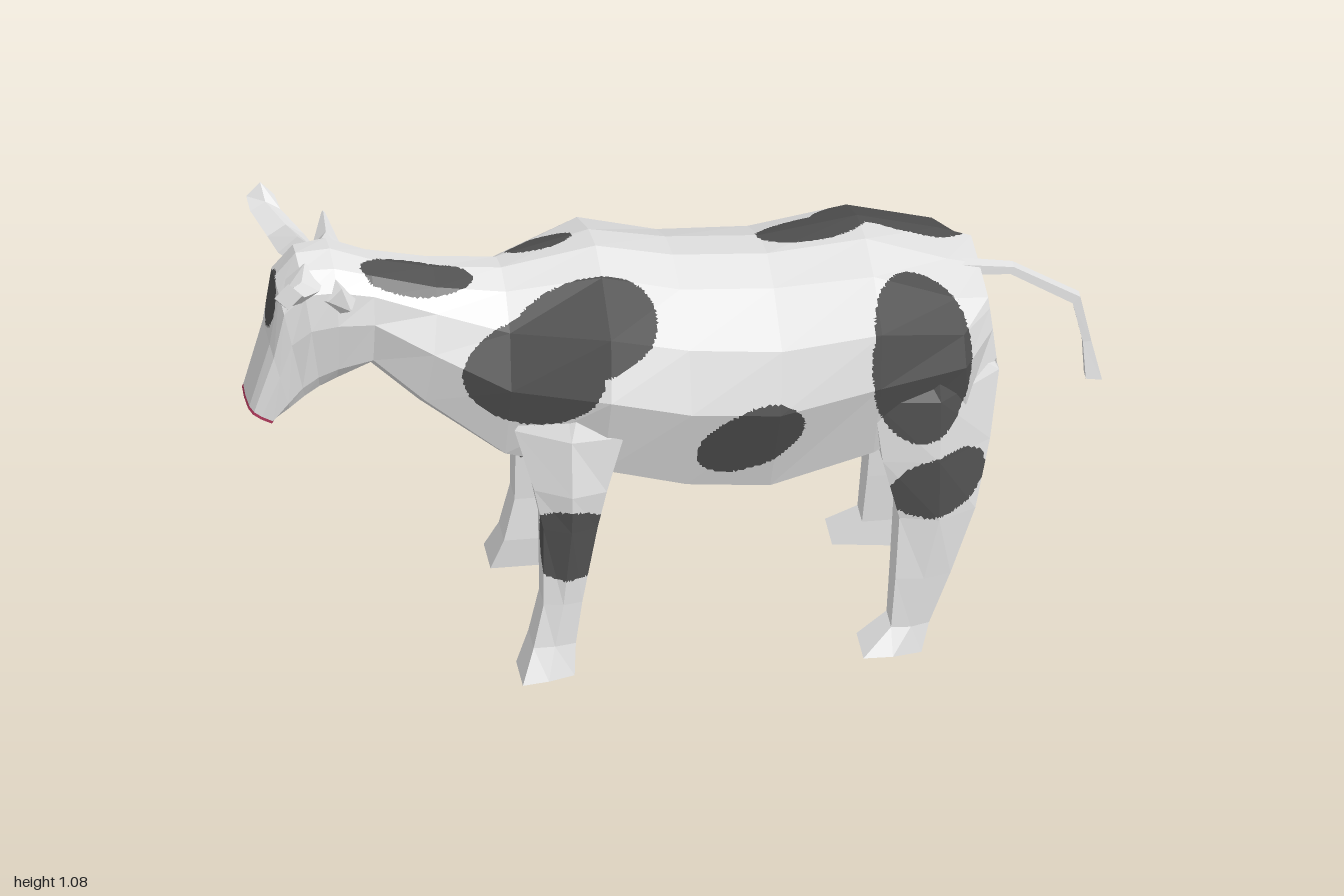
import * as THREE from 'three';

const V = (x, y, z) => new THREE.Vector3(x, y, z);
const hide = new THREE.MeshStandardMaterial({ color: 0xe6e6e6 });
hide.name = 'whiteHide';
const dark = new THREE.MeshStandardMaterial({ color: 0x525252 });
dark.name = 'darkPatch';
const pink = new THREE.MeshStandardMaterial({ color: 0xb03a5c });
pink.name = 'pinkMouth';

// Patches as ellipsoids: centre, radii, tilt about z
const spots = [
  [-0.36, 0.79, 0.25, 0.17, 0.125, 0.2, 0.3], [-0.24, 0.89, 0.24, 0.19, 0.095, 0.2, 0.3], // shoulder
  [0.14, 0.605, 0.3, 0.14, 0.09, 0.14, 0.6], // belly
  [0.54, 0.775, 0.25, 0.122, 0.21, 0.21, 0], // hip
  [0.59, 0.45, 0.29, 0.13, 0.08, 0.12, 0.3], // thigh
  [-0.6, 0.98, 0.04, 0.14, 0.08, 0.06, 0], // neck top
  [-0.92, 0.905, -0.01, 0.08, 0.07, 0.06, 0], // forehead
  [-0.53, 0.81, -0.16, 0.13, 0.1, 0.12, 0.3], // neck side
  [-0.08, 0.755, -0.32, 0.23, 0.1, 0.12, 0], // far flank
  [-0.3, 0.95, -0.11, 0.08, 0.1, 0.055, 0], // withers
  [0.34, 0.92, -0.13, 0.13, 0.1, 0.1, 0], [0.54, 0.875, -0.21, 0.19, 0.11, 0.12, 0], // rump
  [0.58, 0.32, -0.26, 0.11, 0.12, 0.11, 0], // far thigh
  [-0.28, 0.36, 0.3, 0.12, 0.095, 0.11, 0], [-0.28, 0.37, -0.25, 0.12, 0.065, 0.12, 0], // fore legs
];

const isDark = (p) => spots.some(([x, y, z, a, b, c, tilt]) => {
  const dx = p.x - x, dy = p.y - y, dz = p.z - z;
  const u = dx * Math.cos(tilt) + dy * Math.sin(tilt);
  const v = dy * Math.cos(tilt) - dx * Math.sin(tilt);
  return (u / a) ** 2 + (v / b) ** 2 + (dz / c) ** 2 < 1;
});

// Joins rings into a closed, outward-facing list of triangles
function loft(rings) {
  const tris = [], n = rings[0].length;
  for (let i = 0; i + 1 < rings.length; i++) {
    for (let j = 0; j < n; j++) {
      const k = (j + 1) % n;
      const a = rings[i][j], b = rings[i][k], c = rings[i + 1][k], d = rings[i + 1][j];
      tris.push([a, b, c], [a, c, d]);
    }
  }
  [[rings[0], true], [rings[rings.length - 1], false]].forEach(([ring, first]) => {
    const mid = V(0, 0, 0);
    ring.forEach((p) => mid.addScaledVector(p, 1 / n));
    ring.forEach((p, j) => {
      const q = ring[(j + 1) % n];
      tris.push(first ? [mid, q, p] : [mid, p, q]);
    });
  });
  const o = rings[0][0], volume = tris.reduce((s, [a, b, c]) =>
    s + a.clone().sub(o).dot(b.clone().sub(o).cross(c.clone().sub(o))), 0);
  return volume < 0 ? tris.map(([a, b, c]) => [a, c, b]) : tris;
}

// Splits a triangle finely only along patch borders, then sorts it by colour
function paint([a, b, c], out) {
  const lengths = [a.distanceTo(b), b.distanceTo(c), c.distanceTo(a)];
  const longest = Math.max(...lengths);
  const same = isDark(a) === isDark(b) && isDark(b) === isDark(c);
  if (longest < 0.011 || (same && longest < 0.06)) {
    const mid = a.clone().add(b).add(c).divideScalar(3);
    out[isDark(mid) ? 1 : 0].push(a, b, c);
    return;
  }
  const i = lengths.indexOf(longest);
  const [p, q, r] = [[a, b, c], [b, c, a], [c, a, b]][i];
  const m = p.clone().lerp(q, 0.5);
  paint([p, m, r], out);
  paint([m, q, r], out);
}

function facetedMesh(name, rings, material) {
  const out = [[], []];
  const tris = loft(rings);
  if (material) out[0] = tris.flat();
  else tris.forEach((t) => paint(t, out));
  const geometry = new THREE.BufferGeometry().setFromPoints([...out[0], ...out[1]]);
  geometry.addGroup(0, out[0].length, 0);
  geometry.addGroup(out[0].length, out[1].length, 1);
  geometry.computeVertexNormals();
  const mesh = new THREE.Mesh(geometry, material || [hide, dark]);
  mesh.name = name;
  return mesh;
}

// Body sections: top x, y, bottom x, y, then five half-widths going down
const bodyRows = [
  [0.715, 0.865, 0.735, 0.68, 0.14, 0.15, 0.16, 0.16, 0.15],
  [0.64, 0.885, 0.65, 0.6, 0.16, 0.265, 0.285, 0.25, 0.13],
  [0.45, 0.955, 0.43, 0.46, 0.14, 0.295, 0.315, 0.25, 0.1],
  [0.22, 0.935, 0.19, 0.37, 0.12, 0.285, 0.318, 0.23, 0.1],
  [0, 0.95, 0, 0.39, 0.12, 0.275, 0.315, 0.23, 0.1],
  [-0.18, 0.99, -0.2, 0.46, 0.11, 0.28, 0.325, 0.25, 0.11],
  [-0.4, 0.95, -0.42, 0.5, 0.08, 0.17, 0.23, 0.19, 0.08],
  [-0.56, 0.965, -0.6, 0.635, 0.07, 0.12, 0.155, 0.125, 0.05],
  [-0.71, 1.0, -0.71, 0.74, 0.06, 0.1, 0.11, 0.085, 0.04],
  [-0.8, 1.035, -0.79, 0.71, 0.07, 0.11, 0.115, 0.08, 0.05],
  [-0.88, 1.03, -0.83, 0.69, 0.06, 0.1, 0.11, 0.08, 0.05],
  [-0.93, 0.97, -0.865, 0.67, 0.06, 0.09, 0.095, 0.08, 0.055],
  [-0.95, 0.83, -0.9, 0.643, 0.055, 0.08, 0.085, 0.075, 0.055],
  [-0.997, 0.658, -0.933, 0.617, 0.05, 0.07, 0.075, 0.07, 0.05],
];
const drops = [0.04, 0.17, 0.44, 0.86, 0.98];
function bodyRing([xt, yt, xb, yb, ...widths]) {
  const at = (t, z) => V(xt + (xb - xt) * t, yt + (yb - yt) * t, z);
  const half = drops.map((t, i) => [t, widths[i]]);
  return [at(0, 0), ...half.map(([t, w]) => at(t, w)), at(1, 0),
    ...half.reverse().map(([t, w]) => at(t, -w))];
}

// Leg levels: y, front x, back x, inner z, then outer z at front, middle and back
const foreLeg = [
  [0.8, -0.29, -0.18, 0.15, 0.2, 0.24, 0.24], [0.64, -0.4, -0.155, 0.13, 0.22, 0.295, 0.285],
  [0.5, -0.36, -0.195, 0.16, 0.26, 0.31, 0.29], [0.4, -0.34, -0.215, 0.18, 0.27, 0.3, 0.28],
  [0.2, -0.34, -0.25, 0.2, 0.275, 0.285, 0.275], [0.09, -0.365, -0.265, 0.2, 0.285, 0.285, 0.275],
  [0.012, -0.395, -0.27, 0.21, 0.32, 0.31, 0.29],
];
const hindLeg = [
  [0.83, 0.5, 0.66, 0.1, 0.2, 0.24, 0.14], [0.68, 0.43, 0.737, 0.145, 0.28, 0.3, 0.17],
  [0.52, 0.45, 0.71, 0.16, 0.28, 0.305, 0.21], [0.36, 0.49, 0.67, 0.172, 0.27, 0.295, 0.25],
  [0.2, 0.48, 0.61, 0.185, 0.275, 0.285, 0.265], [0.07, 0.47, 0.56, 0.2, 0.275, 0.28, 0.265],
  [0, 0.4, 0.54, 0.2, 0.315, 0.305, 0.28],
];
const legRing = (s) => ([y, x0, x1, zi, zf, zm, zb]) => {
  const toe = y === 0 ? 0.015 : 0;
  return [V(x0, y + toe, s * zi), V(x0, y + toe, s * zf), V((x0 + x1) / 2, y + toe / 2, s * zm),
    V(x1, y, s * zb), V(x1, y, s * zi)];
};

// Horn and ear levels: z, front x, back x, low y, high y
const horn = [[0.06, -0.91, -0.82, 0.95, 1.03], [0.13, -0.925, -0.84, 0.965, 1.022],
  [0.2, -0.955, -0.885, 1.0, 1.045], [0.23, -0.96, -0.895, 1.01, 1.08]];
const ear = [[0.08, -0.86, -0.75, 0.89, 1.01], [0.13, -0.82, -0.757, 0.93, 0.995],
  [0.222, -0.786, -0.778, 0.988, 0.996]];
// The head sits slightly off the centre line
const sideRing = (s) => ([z, x0, x1, y0, y1]) => {
  const xm = (x0 + x1) / 2, ym = (y0 + y1) / 2, zs = s * z - 0.012;
  return [V(x0, ym, zs), V(xm, y0, zs), V(x1, ym, zs), V(xm, y1, zs)];
};

// Tail levels: centre x, y, half-thickness along x and y, half-width
const tail = [[0.64, 0.865, 0.0, 0.015, 0.018], [0.79, 0.848, 0.004, 0.009, 0.014], [0.94, 0.755, 0.009, 0.008, 0.013],
  [0.965, 0.64, 0.01, 0.0, 0.01], [0.98, 0.54, 0.019, -0.003, 0.016]];
const tailRing = ([x, y, dx, dy, w]) =>
  [V(x - dx, y - dy, -w), V(x - dx, y - dy, w), V(x + dx, y + dy, w), V(x + dx, y + dy, -w)];

export function createModel() {
  const model = new THREE.Group();
  model.name = 'cow';
  const rings = bodyRows.map(bodyRing);
  model.add(facetedMesh('bodyAndHead', rings));

  // Lips closing the underside of the muzzle
  const end = rings[rings.length - 1];
  model.add(facetedMesh('mouth', [end, end.map((p) => p.clone().add(V(-0.003, -0.006, 0)))], pink));

  [1, -1].forEach((s) => {
    const side = s > 0 ? 'Near' : 'Far';
    model.add(facetedMesh('foreLeg' + side, foreLeg.map(legRing(s))));
    model.add(facetedMesh('hindLeg' + side, hindLeg.map(legRing(s))));
    model.add(facetedMesh('horn' + side, horn.map(sideRing(s)), hide));
    model.add(facetedMesh('ear' + side, ear.map(sideRing(s)), hide));
  });
  model.add(facetedMesh('tail', tail.map(tailRing), hide));
  return model;
}
